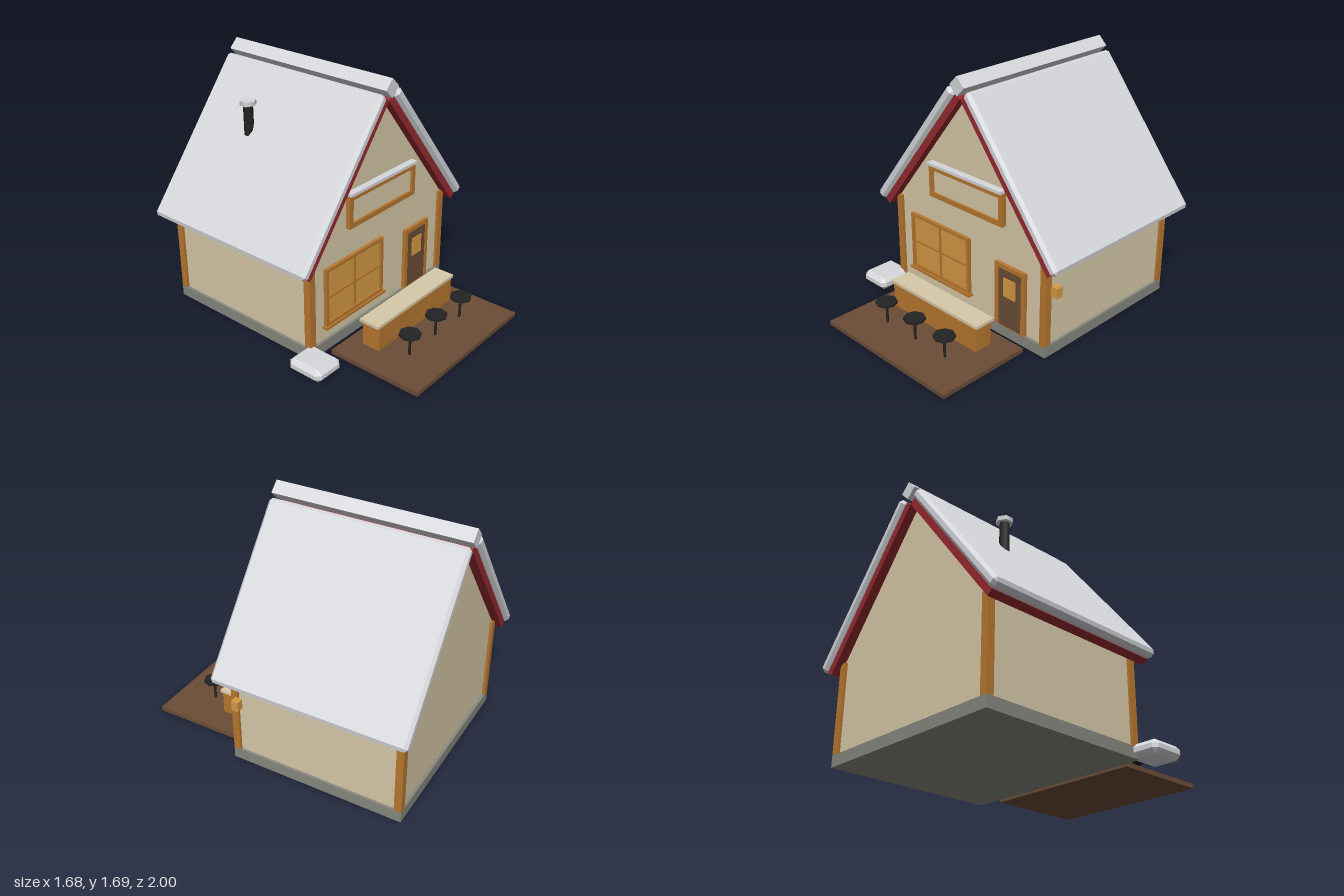
import * as THREE from 'three';
import { ConvexGeometry } from 'three/addons/geometries/ConvexGeometry.js';

const CX = 0.02; // centre line of the house

function mat(name, color) {
  const m = new THREE.MeshStandardMaterial({ color });
  m.name = name;
  return m;
}

export function createModel() {
  const M = {
    plaster: mat('plaster', 0xd8caa9),
    wood: mat('orange wood', 0xb8772f),
    glow: mat('amber glass', 0xd59a44),
    dark: mat('dark wood', 0x6c4d37),
    stone: mat('foundation stone', 0x87887f),
    snow: mat('snow', 0xd7d8dc),
    red: mat('red trim', 0x972a30),
    iron: mat('black iron', 0x242424),
  };
  const root = new THREE.Group();
  root.name = 'snowyCabin';

  function add(name, geo, material, x = 0, y = 0, z = 0) {
    const m = new THREE.Mesh(geo, material);
    m.name = name;
    m.position.set(x, y, z);
    root.add(m);
    return m;
  }
  // Box given by its extents
  function box(name, material, x0, x1, y0, y1, z0, z1) {
    return add(name, new THREE.BoxGeometry(x1 - x0, y1 - y0, z1 - z0), material,
      (x0 + x1) / 2, (y0 + y1) / 2, (z0 + z1) / 2);
  }
  // Box with every edge cut by a flat chamfer
  function chamferBox(w, h, d, b) {
    const pts = [];
    for (const x of [-1, 1]) for (const y of [-1, 1]) for (const z of [-1, 1]) {
      const X = w / 2, Y = h / 2, Z = d / 2;
      pts.push(new THREE.Vector3(x * X, y * (Y - b), z * (Z - b)),
        new THREE.Vector3(x * (X - b), y * Y, z * (Z - b)),
        new THREE.Vector3(x * (X - b), y * (Y - b), z * Z));
    }
    return new ConvexGeometry(pts);
  }
  // Rectangular frame with an opening; b is the bar width, bb the bottom bar
  function frame(name, x0, x1, y0, y1, z0, z1, b, bb = b) {
    const rect = (C, a, c, d, e) => {
      const s = new C();
      s.moveTo(a, d); s.lineTo(c, d); s.lineTo(c, e); s.lineTo(a, e); s.closePath();
      return s;
    };
    const shape = rect(THREE.Shape, x0, x1, y0, y1);
    shape.holes.push(rect(THREE.Path, x0 + b, x1 - b, y0 + bb, y1 - b));
    const g = new THREE.ExtrudeGeometry(shape, { depth: z1 - z0, bevelEnabled: false });
    return add(name, g, M.wood, 0, 0, z0);
  }

  // Foundation and gabled body
  box('foundation', M.stone, -0.677, 0.717, 0, 0.077, -0.93, 0.28);
  const gable = new THREE.Shape();
  gable.moveTo(-0.68, 0.07);
  gable.lineTo(0.68, 0.07);
  gable.lineTo(0.68, 0.685);
  gable.lineTo(0, 1.55);
  gable.lineTo(-0.68, 0.685);
  gable.closePath();
  add('walls', new THREE.ExtrudeGeometry(gable, { depth: 1.17, bevelEnabled: false }),
    M.plaster, CX, 0, -0.91);

  // Corner posts
  for (const x of [-0.677, 0.667]) for (const z of [-0.93, 0.23]) {
    box('cornerPost', M.wood, x, x + 0.05, 0.077, 0.68, z, z + 0.05);
  }

  // Roof: red slab with a snow slab on top, mirrored about the ridge
  const slope = 0.904, zMid = -0.325;
  for (const s of [-1, 1]) {
    const place = (mesh, along, out) => {
      mesh.position.set(CX + s * (along * Math.cos(slope) + out * Math.sin(slope)),
        1.54 - along * Math.sin(slope) + out * Math.cos(slope), zMid);
      mesh.rotation.z = -s * slope;
    };
    place(add('roofTrim', new THREE.BoxGeometry(1.186, 0.048, 1.29), M.red), 0.593, 0.024);
    place(add('roofSnow', chamferBox(1.2, 0.07, 1.34, 0.02), M.snow), 0.597, 0.083);
  }
  const ridge = add('ridgeCap', new THREE.BoxGeometry(0.09, 0.09, 1.34), M.snow, CX, 1.628, zMid);
  ridge.rotation.z = Math.PI / 4;

  // Chimney pipe with snow cap
  add('chimneyPipe', new THREE.CylinderGeometry(0.033, 0.033, 0.3, 6).toNonIndexed(), M.iron, -0.354, 1.275, -0.52);
  add('chimneyCap', new THREE.CylinderGeometry(0.055, 0.055, 0.03, 6).toNonIndexed(), M.snow, -0.354, 1.44, -0.52);

  // Blank sign on the gable
  frame('signFrame', -0.316, 0.354, 0.787, 1.012, 0.25, 0.295, 0.034);
  box('signPanel', M.plaster, -0.29, 0.325, 0.81, 0.99, 0.25, 0.28);
  box('signSnow', M.snow, -0.316, 0.354, 1.012, 1.032, 0.25, 0.31);

  // Front window
  frame('windowFrame', -0.528, 0.038, 0.178, 0.588, 0.25, 0.285, 0.022);
  box('windowGlass', M.glow, -0.51, 0.02, 0.19, 0.57, 0.25, 0.27);
  box('windowMullion', M.wood, -0.252, -0.239, 0.195, 0.57, 0.26, 0.28);
  box('windowRail', M.wood, -0.51, 0.02, 0.374, 0.386, 0.26, 0.28);
  box('windowSill', M.wood, -0.542, 0.052, 0.161, 0.179, 0.25, 0.297);

  // Door
  frame('doorFrame', 0.281, 0.541, 0.077, 0.527, 0.25, 0.285, 0.031, 0.001);
  box('doorLeaf', M.dark, 0.311, 0.511, 0.077, 0.497, 0.25, 0.282);
  box('doorGlass', M.glow, 0.359, 0.462, 0.303, 0.437, 0.28, 0.288);

  // Side lantern
  box('lantern', M.glow, 0.722, 0.772, 0.435, 0.505, 0.193, 0.243);

  // Deck and bar counter
  box('deck', M.dark, -0.54, 0.578, 0.003, 0.033, 0.33, 1);
  box('counterBody', M.wood, -0.375, 0.411, 0.045, 0.218, 0.452, 0.582);
  box('counterTop', M.plaster, -0.393, 0.428, 0.217, 0.238, 0.438, 0.588);

  // Stools
  for (const x of [-0.262, 0.018, 0.298]) {
    add('stoolSeat', new THREE.CylinderGeometry(0.072, 0.072, 0.016, 8), M.iron, x, 0.186, 0.737);
    add('stoolPole', new THREE.CylinderGeometry(0.009, 0.009, 0.15, 8), M.iron, x, 0.105, 0.737);
  }

  // Snow heap beside the front corner
  add('snowHeap', chamferBox(0.222, 0.09, 0.26, 0.03), M.snow, -0.732, 0.048, 0.36);

  return root;
}
